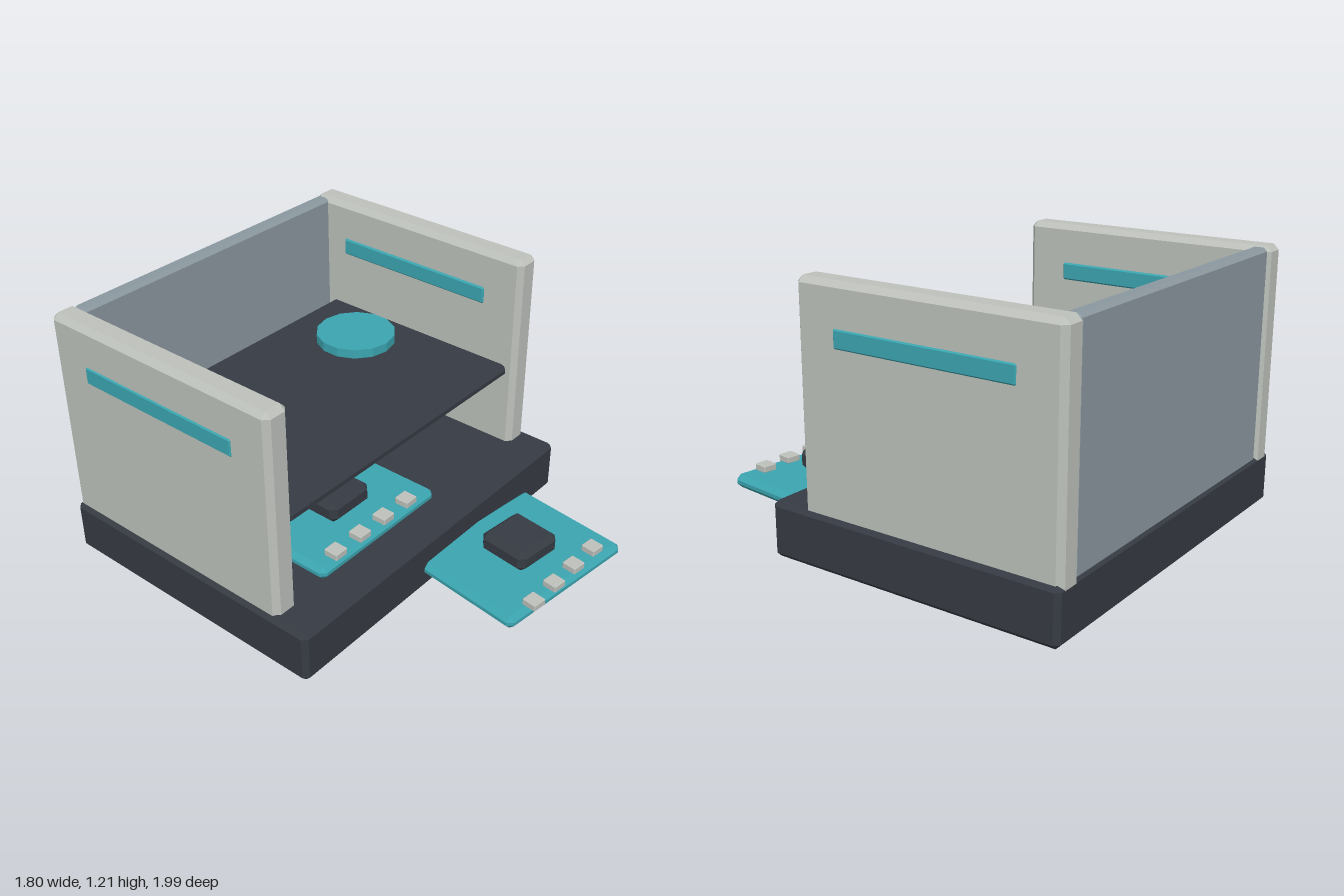
import * as THREE from 'three';
import { ConvexGeometry } from 'three/addons/geometries/ConvexGeometry.js';

function material(name, color) {
  const m = new THREE.MeshStandardMaterial({ color });
  m.name = name;
  return m;
}

// Box with flat chamfers on every edge: three corner points per corner
function chamferBox(w, h, d, c) {
  const points = [];
  for (const sx of [-1, 1]) for (const sy of [-1, 1]) for (const sz of [-1, 1]) {
    const x = w / 2, y = h / 2, z = d / 2;
    points.push(
      new THREE.Vector3(sx * x, sy * (y - c), sz * (z - c)),
      new THREE.Vector3(sx * (x - c), sy * y, sz * (z - c)),
      new THREE.Vector3(sx * (x - c), sy * (y - c), sz * z),
    );
  }
  return new ConvexGeometry(points);
}

export function createModel() {
  const model = new THREE.Group();
  model.name = 'equipmentBay';

  const dark = material('charcoal', 0x363b43);
  const light = material('pale grey', 0xbdc1bb);
  const slate = material('slate grey', 0x8b989f);
  const teal = material('teal', 0x3ba5b0);

  function add(parent, name, geometry, mat, x, y, z) {
    const mesh = new THREE.Mesh(geometry, mat);
    mesh.name = name;
    mesh.position.set(x, y, z);
    parent.add(mesh);
    return mesh;
  }

  // Box given by its limits on each axis
  function block(name, mat, [x0, x1], [y0, y1], [z0, z1], c) {
    return add(model, name, chamferBox(x1 - x0, y1 - y0, z1 - z0, c), mat,
      (x0 + x1) / 2, (y0 + y1) / 2, (z0 + z1) / 2);
  }

  // Housing
  block('base', dark, [-0.9, 0.9], [0, 0.25], [-1, 0.405], 0.022);
  block('backPanel', slate, [-0.775, 0.775], [0.22, 1.208], [-0.988, -0.915], 0.016);
  block('shelf', dark, [-0.752, 0.752], [0.62, 0.685], [-0.87, 0.205], 0.022);

  // Side walls, each with an accent strip passing through
  for (const s of [-1, 1]) {
    const side = s > 0 ? 'left' : 'right';
    const span = (a, b) => (s > 0 ? [a, b] : [-b, -a]);
    block(side + 'Wall', light, span(0.757, 0.882), [0.2, 1.213], [-1, 0.238], 0.025);
    block(side + 'AccentStrip', teal, span(0.748, 0.888), [0.948, 1.03], [-0.802, 0.043], 0.007);
  }

  // Canister standing on the base and rising through the shelf
  const canister = new THREE.Group();
  canister.name = 'canister';
  canister.position.set(0.478, 0, -0.5);
  model.add(canister);
  const facets = (r, h) => new THREE.CylinderGeometry(r, r, h, 14).toNonIndexed();
  const addFacets = (name, r, y0, y1, mat) => {
    const geometry = facets(r, y1 - y0);
    geometry.computeVertexNormals();
    add(canister, name, geometry, mat, 0, (y0 + y1) / 2, 0);
  };
  addFacets('canisterBody', 0.185, 0.24, 0.69, slate);
  addFacets('canisterCap', 0.192, 0.67, 0.73, teal);

  // Circuit cards with a central chip and a row of contacts
  function card(name, x, y, z, turn) {
    const group = new THREE.Group();
    group.name = name;
    group.position.set(x, y, z);
    model.add(group);
    add(group, 'board', chamferBox(0.755, 0.065, 0.575, 0.024), teal, 0, 0.0325, 0).rotation.y = turn;
    add(group, 'chip', chamferBox(0.25, 0.105, 0.25, 0.028), dark, 0, 0.115, 0).rotation.y = turn;
    for (let i = 0; i < 4; i++) {
      add(group, 'contact', chamferBox(0.07, 0.034, 0.07, 0.004), light,
        -0.258 + i * 0.156, 0.079, 0.252).rotation.y = turn;
    }
  }
  card('storedCard', -0.253, 0.28, -0.022, 0);
  card('ejectedCard', 0.224, 0.068, 0.664, -0.12);

  return model;
}
